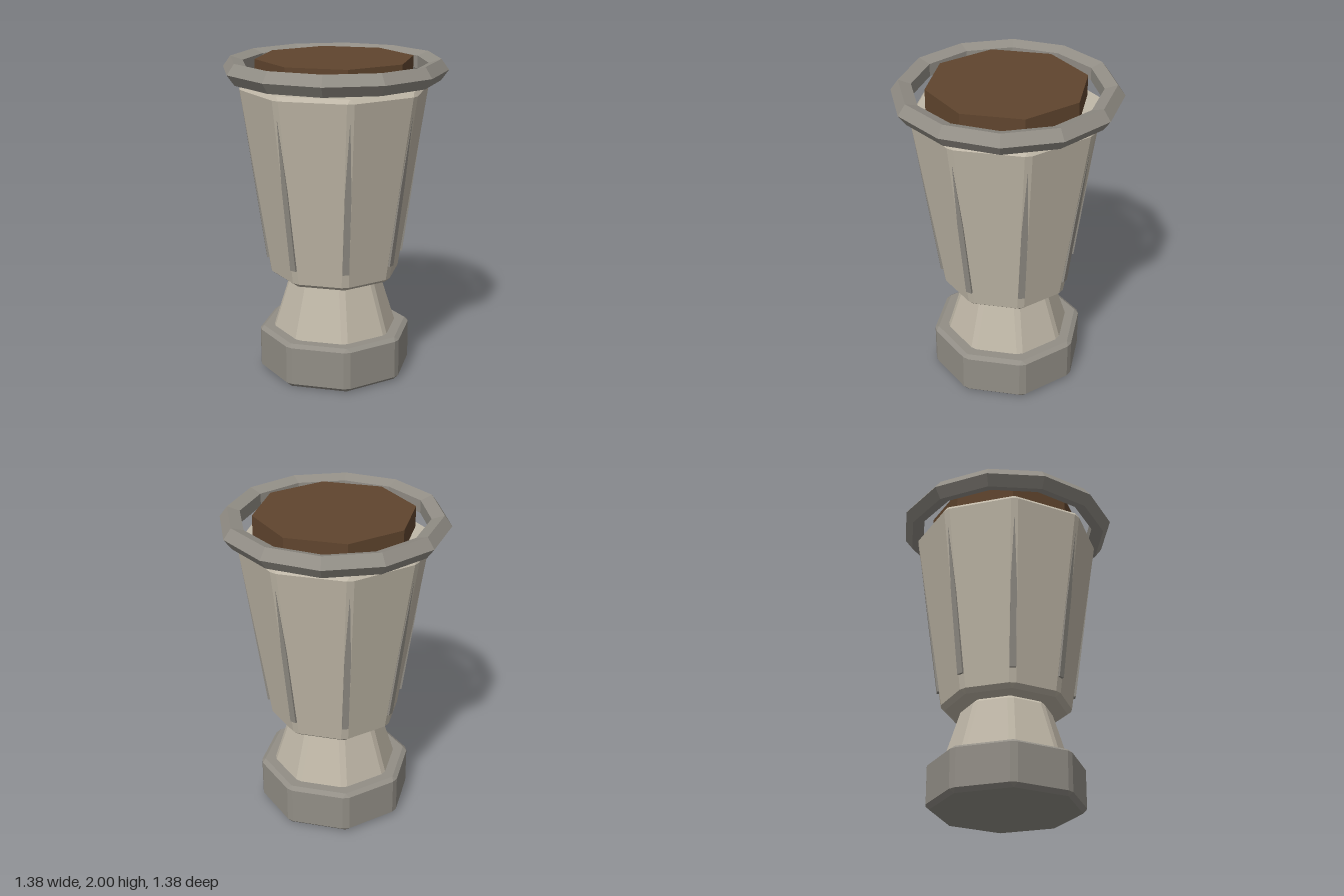
import * as THREE from 'three';

const paleStone = new THREE.MeshStandardMaterial({ color: 0xc0b8a8, flatShading: true });
const greyStone = new THREE.MeshStandardMaterial({ color: 0x928e86, flatShading: true });
const soilBrown = new THREE.MeshStandardMaterial({ color: 0x60452e, flatShading: true });

// Closed solid through a stack of rings, each a list of Vector3 of equal count
function loft(rings) {
  const pos = [];
  const tri = (...pts) => pts.forEach((p) => pos.push(p.x, p.y, p.z));
  const n = rings[0].length;
  const cap = (ring, up) => {
    const c = ring.reduce((s, p) => s.add(p), new THREE.Vector3()).divideScalar(n);
    for (let j = 0; j < n; j++) {
      const p = ring[j], q = ring[(j + 1) % n];
      if (up) tri(c, q, p); else tri(c, p, q);
    }
  };
  for (let i = 0; i < rings.length - 1; i++) {
    for (let j = 0; j < n; j++) {
      const k = (j + 1) % n;
      tri(rings[i][j], rings[i + 1][j], rings[i + 1][k]);
      tri(rings[i][j], rings[i + 1][k], rings[i][k]);
    }
  }
  cap(rings[0], false);
  cap(rings[rings.length - 1], true);
  const geo = new THREE.BufferGeometry();
  geo.setAttribute('position', new THREE.Float32BufferAttribute(pos, 3));
  geo.computeVertexNormals();
  return geo;
}

// Octagon with its corners on the axes, each corner cut by a flat of half-width w
function octagon([y, r, w]) {
  const pts = [];
  for (let i = 0; i < 8; i++) {
    const a = (i * Math.PI) / 4, c = Math.cos(a), s = Math.sin(a);
    for (const t of [-w, w]) pts.push(new THREE.Vector3(r * c - t * s, y, r * s + t * c));
  }
  return pts;
}

export function createModel() {
  const model = new THREE.Group();
  const add = (name, geo, mat, parent = model) => {
    const mesh = new THREE.Mesh(geo, mat);
    mesh.name = name;
    parent.add(mesh);
    return mesh;
  };

  // Bevelled octagonal parts: [height, radius, corner cut]
  add('base', loft([[0, 0.46, 0], [0.025, 0.48, 0.022], [0.265, 0.48, 0.022], [0.285, 0.46, 0]].map(octagon)), greyStone);
  add('neck', loft([[0.25, 0.4, 0.02], [0.615, 0.285, 0.02], [0.638, 0.265, 0]].map(octagon)), paleStone);
  add('bowl', loft([[0.635, 0.38, 0], [0.66, 0.405, 0.022], [1.82, 0.582, 0.022], [1.845, 0.57, 0]].map(octagon)), paleStone);

  // Tapering ribs along the bowl's corners
  const bowlRadius = (y) => 0.405 + ((y - 0.66) * 0.177) / 1.16;
  const ribGeo = loft([[0.75, 0.014, 0.02], [1.27, 0.007, 0.019], [1.7, 0.001, 0.001]].map(([y, out, w]) => {
    const r = bowlRadius(y);
    return [[r + out, -w], [r + out, w], [r - 0.03, w], [r - 0.03, -w]].map(([x, z]) => new THREE.Vector3(x, y, z));
  }));
  const ribs = new THREE.Group();
  ribs.name = 'ribs';
  model.add(ribs);
  for (let i = 0; i < 8; i++) add('rib', ribGeo, greyStone, ribs).rotation.y = (i * Math.PI) / 4;

  // Rim ring
  const rim = add('rim', new THREE.TorusGeometry(0.622, 0.068, 5, 12).rotateX(Math.PI / 2), greyStone);
  rim.position.y = 1.935;

  // Soil disc inside the rim
  const soil = add('soil', new THREE.CylinderGeometry(0.487, 0.487, 0.13, 8), soilBrown);
  soil.position.y = 1.935;

  return model;
}
